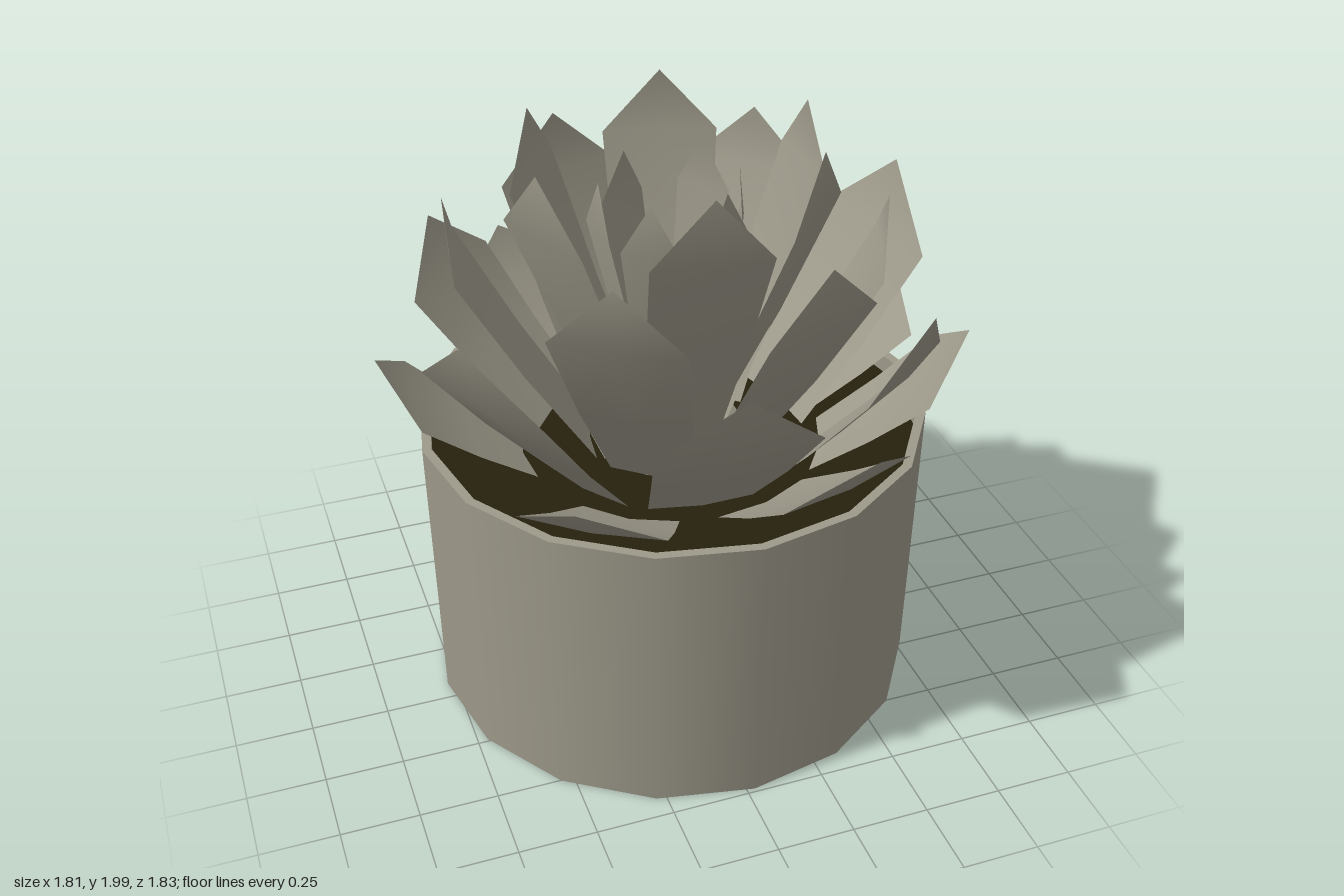
import * as THREE from 'three';

const clay = new THREE.MeshStandardMaterial({ color: 0x9d998a, side: THREE.DoubleSide });
clay.name = 'warm grey';
const soilMat = new THREE.MeshStandardMaterial({ color: 0x26210e });
soilMat.name = 'dark soil';

// Each ring: root radius and height, outward belly, shoulder position along the leaf,
// then one row per leaf: tip x, y, z and half width at the shoulders
const rings = {
  outerLeaf: {
    rootR: 0.46, rootY: 0.9, belly: 0.045, shoulder: 0.72,
    leaves: [
      [-0.91, 1.32, -0.08, 0.21], [-0.55, 1.27, 0.81, 0.22], [0.29, 1.32, 0.91, 0.24],
      [0.81, 1.37, 0.42, 0.22], [0.9, 1.22, -0.26, 0.22], [0.2, 1.22, -0.92, 0.2],
      [-0.34, 1.33, -0.81, 0.23], [0.65, 1.38, -0.6, 0.22],
    ],
  },
  lowerLeaf: {
    rootR: 0.4, rootY: 0.9, belly: 0.065, shoulder: 0.75,
    leaves: [
      [-0.76, 1.62, 0.44, 0.25], [-0.09, 1.58, 0.89, 0.24], [0.53, 1.62, 0.71, 0.22],
      [0.82, 1.68, -0.16, 0.25], [0.14, 1.62, -0.8, 0.25], [-0.62, 1.52, -0.58, 0.23],
    ],
  },
  middleLeaf: {
    rootR: 0.26, rootY: 0.92, belly: 0.075, shoulder: 0.81,
    leaves: [
      [-0.37, 1.81, 0.6, 0.2], [0.25, 1.78, 0.63, 0.21], [0.6, 1.77, 0.24, 0.2],
      [0.44, 1.8, -0.44, 0.2], [-0.2, 1.82, -0.56, 0.21], [-0.66, 1.79, -0.14, 0.2],
    ],
  },
  innerLeaf: {
    rootR: 0.13, rootY: 0.95, belly: 0.065, shoulder: 0.82,
    leaves: [
      [-0.05, 1.98, 0.51, 0.18], [0.34, 1.99, 0.34, 0.18], [0.43, 2, 0, 0.18],
      [0.1, 1.99, -0.39, 0.18], [-0.36, 1.98, -0.26, 0.18], [-0.46, 1.97, 0.19, 0.18],
    ],
  },
  heartLeaf: {
    rootR: 0.07, rootY: 1.0, belly: 0.04, shoulder: 0.82,
    leaves: [
      [-0.23, 1.84, 0.02, 0.09], [-0.13, 1.83, 0.2, 0.09], [0.1, 1.84, 0.21, 0.09],
      [0.19, 1.86, 0.07, 0.09], [0.14, 1.87, -0.12, 0.09], [-0.09, 1.84, -0.17, 0.09],
    ],
  },
};

// Cupped pointed leaf, built from rows of three points and one tip
function leafGeometry([x, y, z, half], { rootR, rootY, belly, shoulder }) {
  const tip = new THREE.Vector3(x, y, z);
  const out = new THREE.Vector3(x, 0, z).normalize();
  const root = out.clone().multiplyScalar(rootR).setY(rootY);
  const side = new THREE.Vector3(out.z, 0, -out.x);
  const along = tip.clone().sub(root).normalize();
  const under = along.clone().cross(side).normalize();
  if (under.dot(out) < 0) under.negate();
  // Rows: position along the leaf, relative width, relative belly
  const rows = [[0, 0.68, 0], [shoulder / 2, 0.85, 0.65], [shoulder, 1, 1]];
  const pos = [], index = [];
  for (const [t, w, b] of rows) {
    for (const s of [-1, 0, 1]) {
      const p = root.clone().lerp(tip, t)
        .addScaledVector(side, s * w * half)
        .addScaledVector(under, b * belly - Math.abs(s) * 0.06 * half);
      pos.push(p.x, p.y, p.z);
    }
  }
  pos.push(x, y, z);
  for (const a of [0, 1, 3, 4]) index.push(a, a + 1, a + 4, a, a + 4, a + 3);
  index.push(6, 7, 9, 7, 8, 9);
  const g = new THREE.BufferGeometry();
  g.setAttribute('position', new THREE.Float32BufferAttribute(pos, 3));
  g.setIndex(index);
  g.computeVertexNormals();
  return g;
}

export function createModel() {
  const model = new THREE.Group();
  model.name = 'pottedSucculent';
  const add = (parent, name, geometry, material, y = 0, tilt = 0) => {
    const m = new THREE.Mesh(geometry, material);
    m.name = name;
    m.position.y = y;
    m.rotation.x = tilt;
    parent.add(m);
  };

  // Pot: outer wall, inner wall, rim, base and soil
  const pot = new THREE.Group();
  pot.name = 'pot';
  pot.position.set(0.026, 0, -0.068);
  const sides = 16, top = 0.975, bottom = 0.015, up = -Math.PI / 2;
  const wall = new THREE.CylinderGeometry(0.82, 0.805, top - bottom, sides, 1, true);
  add(pot, 'potWall', wall, clay, (top + bottom) / 2);
  add(pot, 'potInnerWall', new THREE.CylinderGeometry(0.79, 0.79, 0.065, sides, 1, true), clay, top - 0.0325);
  add(pot, 'potRim', new THREE.RingGeometry(0.79, 0.82, sides), clay, top, up);
  add(pot, 'potBase', new THREE.CircleGeometry(0.805, sides), clay, bottom, -up);
  add(pot, 'soil', new THREE.CircleGeometry(0.79, sides), soilMat, 0.915, up);
  model.add(pot);

  // Rosette of leaves, ring by ring, around a low bud
  const rosette = new THREE.Group();
  rosette.name = 'rosette';
  for (const [name, ring] of Object.entries(rings)) {
    ring.leaves.forEach((leaf, i) => add(rosette, name + (i + 1), leafGeometry(leaf, ring), clay));
  }
  add(rosette, 'bud', new THREE.ConeGeometry(0.26, 0.14, 10, 1, true), clay, 0.99);
  model.add(rosette);
  return model;
}
